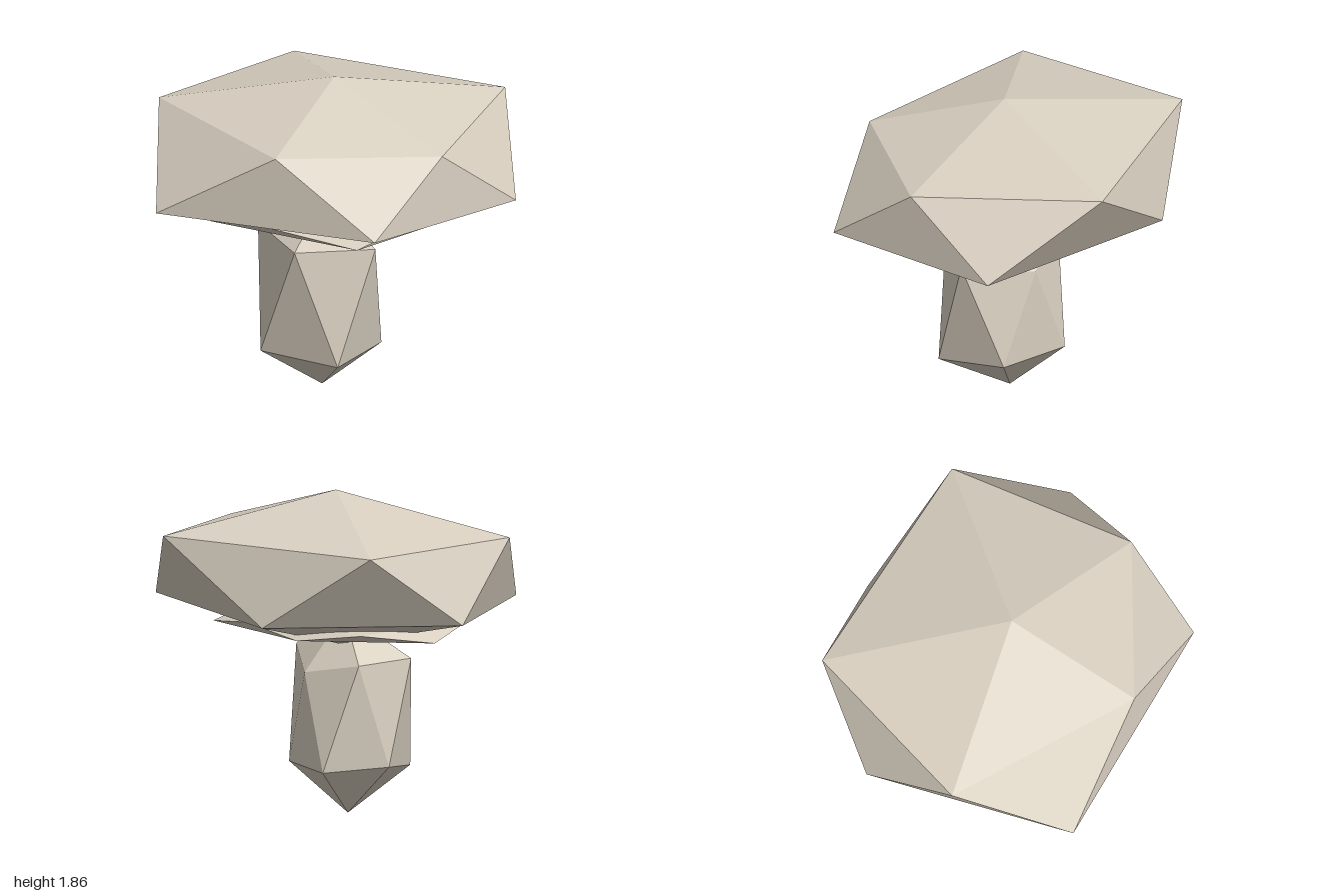
import * as THREE from 'three';

// Faceted twenty-sided rock: top point, upper ring of 5, lower ring of 5, bottom point
function facetedMesh(name, material, top, upper, lower, bottom) {
  const pos = [];
  const tri = (...pts) => pts.forEach((p) => pos.push(...p));
  for (let i = 0; i < 5; i++) {
    const j = (i + 1) % 5;
    tri(top, upper[j], upper[i]);
    tri(upper[i], upper[j], lower[i]);
    tri(lower[i], upper[j], lower[j]);
    tri(bottom, lower[i], lower[j]);
  }
  const geometry = new THREE.BufferGeometry();
  geometry.setAttribute('position', new THREE.Float32BufferAttribute(pos, 3));
  geometry.computeVertexNormals();
  const mesh = new THREE.Mesh(geometry, material);
  mesh.name = name;
  return mesh;
}

export function createModel() {
  const group = new THREE.Group();
  group.name = 'mushroom';
  const cream = new THREE.MeshStandardMaterial({ color: 0xd8cfc0, flatShading: true });
  cream.name = 'cream';

  // Stem, tapering to a point at the ground
  group.add(facetedMesh('stem', cream,
    [0.03, 1.15, 0],
    [[0.45, 0.92, 0.01], [0.14, 0.9, 0.35], [-0.35, 0.92, 0.17], [-0.26, 0.9, -0.15], [0.09, 0.83, -0.25]],
    [[0.37, 0.24, 0.23], [-0.13, 0.25, 0.36], [-0.35, 0.31, 0], [-0.12, 0.28, -0.3], [0.3, 0.28, -0.18]],
    [0, 0, 0]));

  // Flat gill disc under the cap
  group.add(facetedMesh('gills', cream,
    [0, 1.2, 0],
    [[0.73, 1.14, 0], [0.23, 1.15, 0.66], [-0.6, 1.16, 0.42], [-0.58, 1.15, -0.42], [0.23, 1.14, -0.57]],
    [[0.73, 1.08, 0.42], [-0.22, 1.08, 0.67], [-0.74, 1.08, 0], [-0.2, 1.09, -0.57], [0.68, 1.07, -0.42]],
    [0.03, 1.0, 0]));

  // Broad cap
  group.add(facetedMesh('cap', cream,
    [0.08, 1.86, -0.02],
    [[0.97, 1.6, -0.02], [0.37, 1.61, 0.72], [-0.81, 1.64, 0.51], [-0.85, 1.65, -0.59], [0.46, 1.66, -1]],
    [[0.98, 1.21, 0.52], [-0.32, 1.18, 1], [-1, 1.22, -0.02], [-0.26, 1.21, -0.89], [0.99, 1.21, -0.58]],
    [-0.03, 0.99, -0.08]));

  return group;
}
